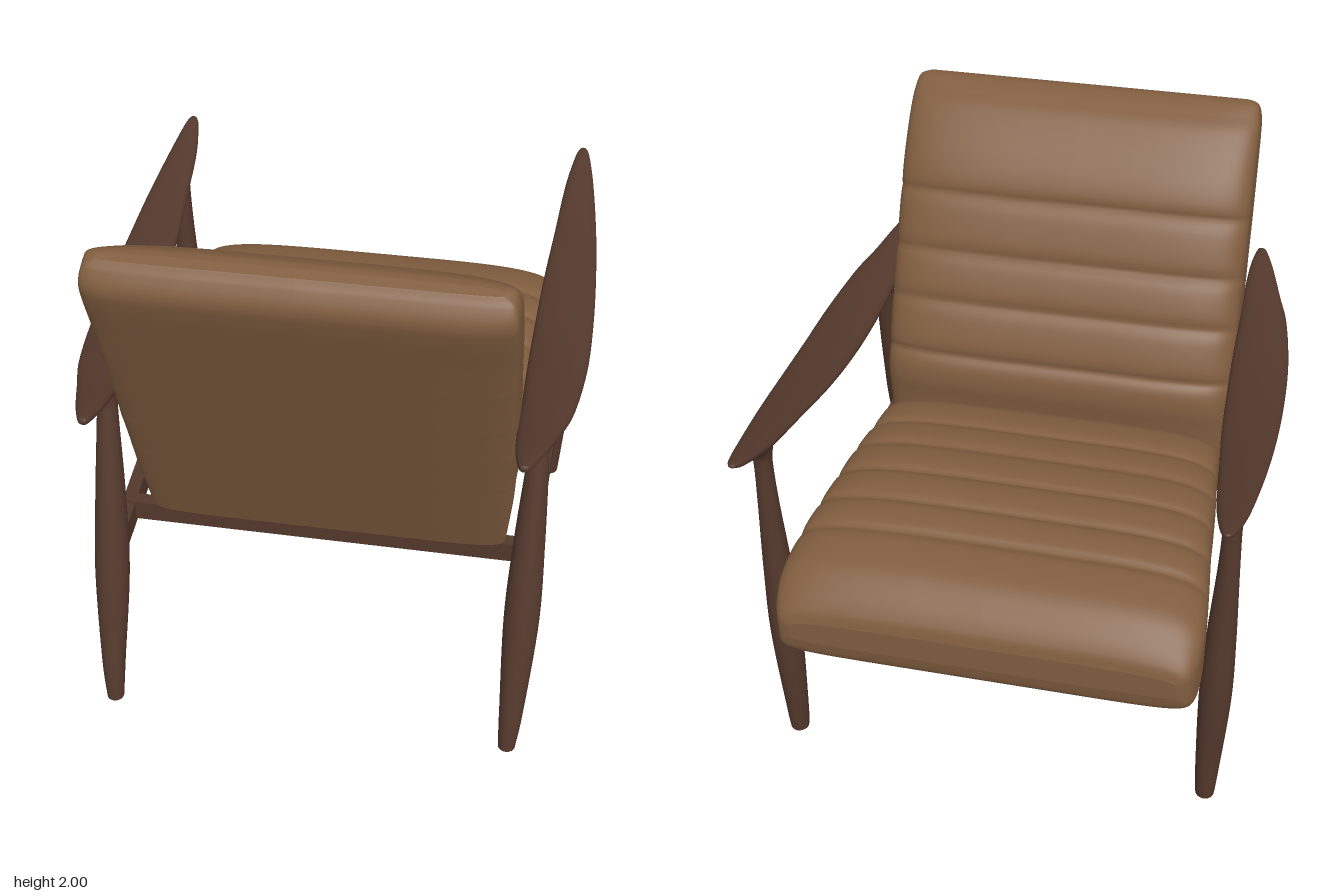
import * as THREE from 'three';

const leather = new THREE.MeshStandardMaterial({ color: 0x805d3f });
leather.name = 'tan leather';
const wood = new THREE.MeshStandardMaterial({ color: 0x53382c });
wood.name = 'dark wood';

// Smoothly resample a table of station rows
function resample(rows, count) {
  const curves = rows[0].map((_, k) => new THREE.SplineCurve(rows.map(r => new THREE.Vector2(r[k], 0))));
  return Array.from({ length: count + 1 }, (_, i) => curves.map(c => c.getPoint(i / count).x));
}

// Rounded closed section: unit superellipse, squareness nTop above and nBottom below
function section(count, nTop, nBottom) {
  return Array.from({ length: count }, (_, j) => {
    const a = (j / count) * Math.PI * 2, c = Math.cos(a), s = Math.sin(a);
    const e = 2 / (s >= 0 ? nTop : nBottom);
    return [Math.sign(c) * Math.abs(c) ** e, Math.sign(s) * Math.abs(s) ** e];
  });
}

// Skin a list of rings, with flat caps that have their own vertices
function loft(rings) {
  const n = rings[0].length, pos = [], idx = [];
  rings.forEach(r => r.forEach(p => pos.push(...p)));
  for (let i = 0; i < rings.length - 1; i++) {
    for (let j = 0; j < n; j++) {
      const a = i * n + j, b = i * n + (j + 1) % n;
      idx.push(a, b, b + n, a, b + n, a + n);
    }
  }
  [[rings[0], true], [rings[rings.length - 1], false]].forEach(([r, first]) => {
    const base = pos.length / 3;
    r.forEach(p => pos.push(...p));
    pos.push(...[0, 1, 2].map(k => r.reduce((t, p) => t + p[k], 0) / n));
    for (let j = 0; j < n; j++) {
      const a = base + j, b = base + (j + 1) % n;
      idx.push(base + n, ...(first ? [b, a] : [a, b]));
    }
  });
  // Turn the faces outward if the signed volume is negative
  let volume = 0;
  const v = i => new THREE.Vector3().fromArray(pos, i * 3);
  for (let i = 0; i < idx.length; i += 3) volume += v(idx[i]).dot(v(idx[i + 1]).cross(v(idx[i + 2])));
  if (volume < 0) idx.reverse();
  const g = new THREE.BufferGeometry();
  g.setAttribute('position', new THREE.Float32BufferAttribute(pos, 3));
  g.setIndex(idx);
  g.computeVertexNormals();
  return g;
}

// Padded cushion: rows are [along, under, over, halfWidth]; seams pinch the upper side
function cushion(rows, seams, place) {
  const shape = section(72, 4.5, 8);
  return loft(resample(rows, 150).map(([h, lo, hi, w]) => {
    const near = Math.min(...seams.map(s => Math.abs(h - s)));
    const top = hi - 0.022 * Math.exp(-near / 0.022);
    return shape.map(([x, y]) => [x * w, ...place(h, (lo + top) / 2 + y * (top - lo) / 2)]);
  }));
}

// Turned leg: rows are [y, x, z, radiusX, radiusZ]
function leg(rows, side) {
  const shape = section(24, 2, 2);
  return loft(resample(rows, 48).map(([y, x, z, rx, rz]) =>
    shape.map(([a, b]) => [side * (x + a * rx), y, z + b * rz])));
}

// Armrest: rows are [z, yLow, yHigh, xInner, xOuter]
function arm(rows, side) {
  const shape = section(32, 2.3, 2);
  return loft(resample(rows, 72).map(([z, lo, hi, xi, xo]) =>
    shape.map(([a, b]) => [side * ((xi + xo) / 2 + a * (xo - xi) / 2), (lo + hi) / 2 + b * (hi - lo) / 2, z])));
}

// Straight rectangular bar between two points
function bar(a, b, width, height) {
  const from = new THREE.Vector3(...a), to = new THREE.Vector3(...b);
  const m = new THREE.Mesh(new THREE.BoxGeometry(width, height, from.distanceTo(to)), wood);
  m.position.copy(from).add(to).multiplyScalar(0.5);
  m.lookAt(to);
  return m;
}

export function createModel() {
  const group = new THREE.Group();
  const add = (name, mesh) => { mesh.name = name; group.add(mesh); };

  // Seat cushion, running toward the sitter's knees at -z
  const seatRows = [
    [-0.45, 0.6, 0.8, 0.64], [-0.27, 0.6, 0.88, 0.66], [-0.2, 0.6, 0.935, 0.665], [-0.05, 0.6, 0.965, 0.675],
    [0.12, 0.605, 0.99, 0.69], [0.3, 0.61, 1.008, 0.7], [0.47, 0.615, 1.012, 0.715], [0.63, 0.615, 1.003, 0.73],
    [0.79, 0.61, 0.975, 0.74], [0.88, 0.606, 0.92, 0.733], [0.935, 0.645, 0.86, 0.71], [0.953, 0.71, 0.81, 0.67],
  ];
  add('seatCushion', new THREE.Mesh(
    cushion(seatRows, [-0.05, 0.12, 0.3, 0.47, 0.63], (h, t) => [t, -h]), leather));

  // Reclined back cushion, rising along its tilted rear face
  const backRows = [
    [0, 0, 0.22, 0.655], [0.2, 0, 0.32, 0.67], [0.3, 0, 0.37, 0.675], [0.404, 0, 0.385, 0.675], [0.61, 0, 0.378, 0.675],
    [0.8, 0, 0.362, 0.672], [1.02, 0, 0.342, 0.67], [1.166, 0, 0.315, 0.668], [1.32, 0, 0.255, 0.665],
    [1.39, 0.012, 0.205, 0.66], [1.435, 0.055, 0.16, 0.645], [1.45, 0.09, 0.125, 0.61],
  ];
  add('backCushion', new THREE.Mesh(
    cushion(backRows, [0.404, 0.61, 0.8, 1.02],
      (h, t) => [0.6 + 0.933 * h + 0.359 * t, 0.47 + 0.359 * h - 0.933 * t]), leather));

  const frontLegRows = [
    [0, 0.78, -0.71, 0.034, 0.034], [0.1, 0.78, -0.71, 0.041, 0.041], [0.5, 0.785, -0.71, 0.057, 0.057],
    [0.8, 0.787, -0.71, 0.051, 0.051], [1.1, 0.79, -0.71, 0.037, 0.037], [1.28, 0.79, -0.71, 0.032, 0.032],
    [1.34, 0.79, -0.71, 0.037, 0.045], [1.385, 0.79, -0.715, 0.048, 0.085],
  ];
  const rearLegRows = [
    [0, 0.73, 0.855, 0.031, 0.031], [0.15, 0.735, 0.817, 0.043, 0.043], [0.5, 0.74, 0.71, 0.062, 0.062],
    [0.8, 0.742, 0.635, 0.054, 0.054], [1.08, 0.745, 0.57, 0.039, 0.039], [1.17, 0.745, 0.55, 0.036, 0.036],
    [1.22, 0.748, 0.54, 0.046, 0.055], [1.27, 0.755, 0.53, 0.065, 0.1],
  ];
  const armRows = [
    [0.905, 1.345, 1.352, 0.7, 0.715], [0.89, 1.33, 1.362, 0.69, 0.73], [0.8, 1.305, 1.35, 0.675, 0.765],
    [0.65, 1.265, 1.325, 0.67, 0.81], [0.5, 1.243, 1.312, 0.673, 0.85], [0.25, 1.233, 1.3, 0.675, 0.88],
    [0, 1.24, 1.305, 0.683, 0.888], [-0.25, 1.272, 1.33, 0.695, 0.884], [-0.5, 1.32, 1.37, 0.715, 0.87],
    [-0.75, 1.37, 1.42, 0.735, 0.845], [-0.9, 1.42, 1.455, 0.76, 0.82], [-0.945, 1.445, 1.463, 0.775, 0.805],
    [-0.955, 1.452, 1.458, 0.785, 0.795],
  ];

  // Mirrored wooden side frames
  for (const [side, label] of [[1, 'left'], [-1, 'right']]) {
    add(label + 'FrontLeg', new THREE.Mesh(leg(frontLegRows, side), wood));
    add(label + 'RearLeg', new THREE.Mesh(leg(rearLegRows, side), wood));
    add(label + 'Armrest', new THREE.Mesh(arm(armRows, side), wood));
    add(label + 'SideRail', bar([side * 0.74, 0.545, 0.67], [side * 0.78, 0.575, -0.68], 0.05, 0.09));
  }

  // Cross rails under the seat
  add('rearCrossRail', bar([-0.75, 0.56, 0.42], [0.75, 0.56, 0.42], 0.05, 0.08));
  add('frontCrossRail', bar([-0.77, 0.575, -0.6], [0.77, 0.575, -0.6], 0.05, 0.08));
  return group;
}
